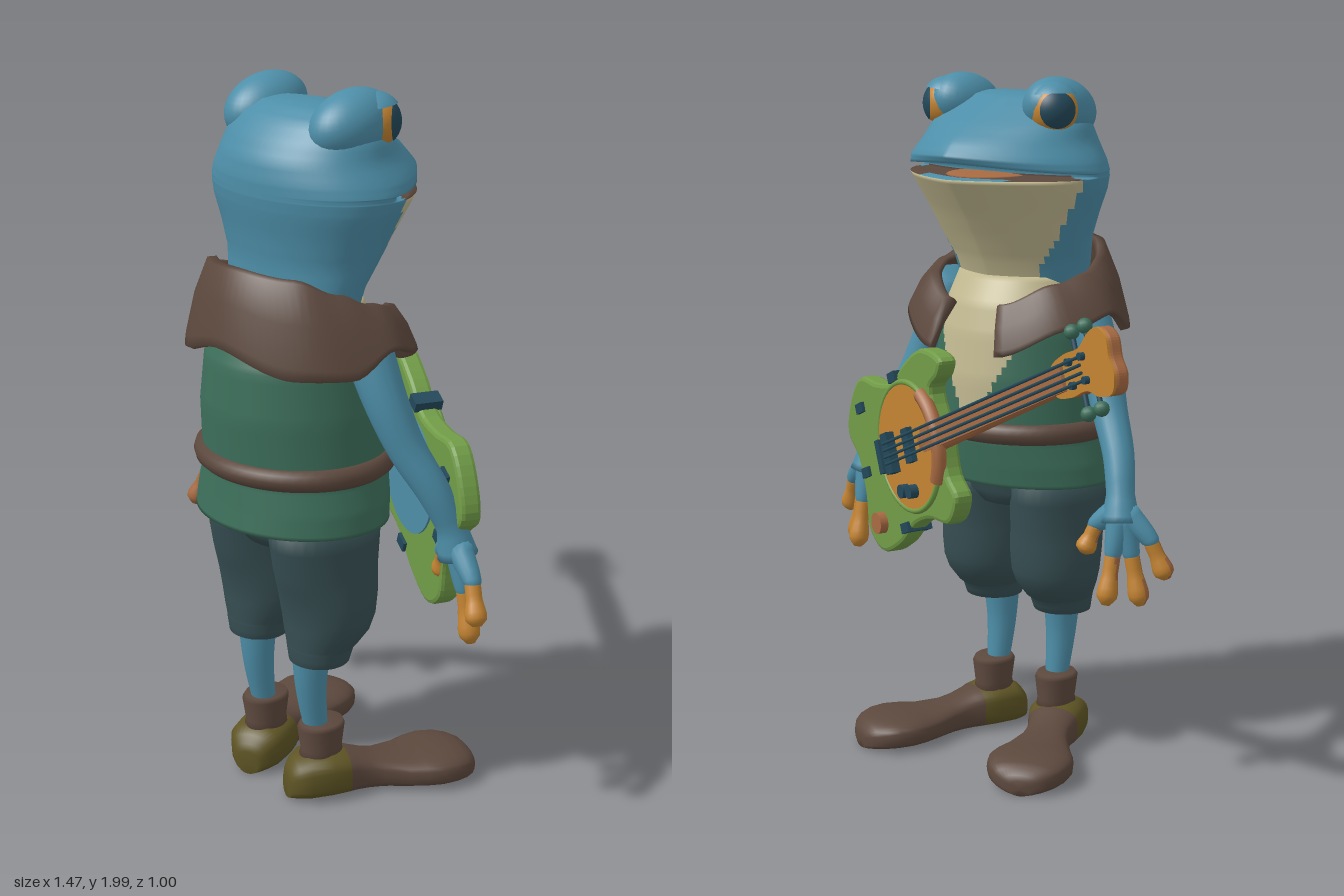
import * as THREE from 'three';

const mat = (name, color) => Object.assign(new THREE.MeshStandardMaterial({ color }), { name });
const V = (x, y, z) => new THREE.Vector3(x, y, z);
function named(o, name) { o.name = name; return o; }

// Closed rings joined into a smooth capped skin; pick(centre of a quad) chooses its material
function skin(name, rings, mats, pick = () => 0) {
  mats = [mats].flat();
  const n = rings[0].length;
  const cap = r => { const c = V(0, 0, 0); r.forEach(p => c.addScaledVector(p, 1 / n)); return r.map(() => c.clone()); };
  const all = [cap(rings[0]), ...rings, cap(rings[rings.length - 1])];
  const pts = all.flat(), buckets = mats.map(() => []);
  for (let i = 0; i < all.length - 1; i++) for (let j = 0; j < n; j++) {
    const a = i * n + j, b = i * n + (j + 1) % n;
    const m = V(0, 0, 0).add(pts[a]).add(pts[b]).add(pts[a + n]).add(pts[b + n]).divideScalar(4);
    const bucket = buckets[pick(m)];
    if (i < all.length - 2) bucket.push(a, b + n, a + n);
    if (i > 0) bucket.push(a, b, b + n);
    else bucket.push(a, b + n, a + n);
  }
  buckets[0] = buckets[0].filter(v => v >= 0);
  const g = new THREE.BufferGeometry().setFromPoints(pts);
  g.setIndex(buckets.flat());
  let start = 0;
  buckets.forEach((b, k) => { g.addGroup(start, b.length, k); start += b.length; });
  g.computeVertexNormals();
  return named(new THREE.Mesh(g, mats.length > 1 ? mats : mats[0]), name);
}

// Horizontal slices [y, halfWidth, zCentre, zBack, zFront, frontLift]; point > 1 narrows the front
function slices(rows, cx = 0, sub = 1, n = 48, point = 1) {
  const out = [];
  rows.forEach((r, i) => {
    const next = rows[i + 1];
    for (let k = 0; k < (next ? sub : 1); k++) {
      const [y, w, zc, zb, zf, lift = 0] = r.map((v, q) => next ? v + ((next[q] ?? 0) - v) * k / sub : v);
      out.push(Array.from({ length: n }, (_, j) => {
        const t = j / n * Math.PI * 2, c = Math.cos(t), s = Math.sin(t);
        const e = c < 0 ? point : 1;
        return V(cx + w * Math.sign(s) * Math.abs(s) ** e, y + (c < 0 ? lift * c * c : 0), zc + c * (c > 0 ? zb - zc : zc - zf));
      }));
    }
  });
  return out;
}

// Tapered limb along a curve
function limb(name, pts, radii, mats, steps = 16, n = 14, pick) {
  const curve = new THREE.CatmullRomCurve3(pts), rings = [];
  for (let i = 0; i <= steps; i++) {
    const u = i / steps, p = curve.getPoint(u), T = curve.getTangent(u);
    const f = u * (radii.length - 1), k = Math.min(Math.floor(f), radii.length - 2);
    const r = radii[k] + (radii[k + 1] - radii[k]) * (f - k);
    const N = V(0, 0, 1).addScaledVector(T, -T.z).normalize(), B = T.clone().cross(N);
    rings.push(Array.from({ length: n }, (_, j) => {
      const a = j / n * Math.PI * 2;
      return p.clone().addScaledVector(N, r * Math.cos(a)).addScaledVector(B, r * Math.sin(a));
    }));
  }
  return skin(name, rings, mats, pick);
}

export function createModel() {
  const blue = mat('blue skin', 0x4d8ea8), cream = mat('cream throat', 0xc4bb92), brown = mat('brown leather', 0x5c483d);
  const vest = mat('vest green', 0x3d6f5b), pants = mat('dark teal cloth', 0x385054), olive = mat('olive heel', 0x5e5424);
  const lime = mat('guitar green', 0x719c47), orange = mat('orange', 0xc48432), copper = mat('copper wood', 0xa76a42);
  const steel = mat('dark steel blue', 0x24495a);
  const model = named(new THREE.Group(), 'frogMusician'), frog = named(new THREE.Group(), 'frog');
  frog.position.x = 0.115;
  model.add(frog);
  const add = (parent, name, geo, m, x = 0, y = 0, z = 0) => {
    const o = named(new THREE.Mesh(geo, m), name);
    o.position.set(x, y, z);
    parent.add(o);
    return o;
  };

  // Head with an open mouth
  frog.add(skin('head', slices([
    [1.36, .2, .24, .38, .1], [1.48, .225, .23, .36, .05], [1.55, .245, .2, .36, .01], [1.62, .272, .19, .37, -.035],
    [1.69, .302, .18, .385, -.085], [1.725, .312, .17, .39, -.11], [1.729, .311, .17, .39, .06], [1.737, .311, .17, .39, .06, .02],
    [1.741, .312, .17, .39, -.11, .03], [1.77, .3, .17, .39, -.122, .022], [1.82, .268, .18, .38, -.085, .01],
    [1.87, .252, .18, .35, -.02], [1.915, .22, .19, .31, .06], [1.943, .16, .19, .265, .11], [1.952, .08, .19, .23, .15],
  ], 0, 3, 88, 1.45), [blue, cream, brown], p => p.z > .115 ? 0 : p.y < 1.722 ? 1 : p.y < 1.738 && p.z > -.03 ? 2 : 0));
  const tongue = add(frog, 'tongue', new THREE.SphereGeometry(.14, 24, 10), copper, 0, 1.727, .09);
  tongue.scale.set(.9, .07, 1);

  // Torso in an open vest
  frog.add(skin('vest', slices([
    [.84, .295, .23, .485, .01], [.9, .288, .23, .476, 0], [.97, .268, .23, .468, -.01], [1.15, .262, .23, .48, -.015],
    [1.28, .245, .23, .47, 0], [1.36, .22, .23, .44, .02], [1.44, .19, .23, .38, .06],
  ], 0, 6, 112), [vest, cream, blue], p => {
    if (p.z > .2 || p.y < 1.03) return p.y > 1.39 ? 2 : 0;
    return Math.abs(p.x) < .03 + (p.y - 1.03) * .45 ? 1 : p.y > 1.36 ? 2 : 0;
  }));
  const belt = add(frog, 'belt', new THREE.TorusGeometry(.255, .027, 10, 56), brown, 0, 1, .23);
  belt.rotation.x = Math.PI / 2;
  belt.scale.set(1.04, .93, 1.15);

  // Flared collar, lower and open at the chest
  const keys = [[0, 1.54, 1.335], [.7, 1.53, 1.28], [1.2, 1.49, 1.28], [1.6, 1.455, 1.345], [2.1, 1.43, 1.31], [2.8, 1.37, 1.23]];
  const edge = (a, q) => {
    const i = Math.max(1, keys.findIndex(k => k[0] >= a - 1e-6)), A = keys[i - 1], B = keys[i];
    return THREE.MathUtils.lerp(A[q], B[q], THREE.MathUtils.smoothstep(a, A[0], B[0]));
  };
  const section = [[.245, .215, 0], [.27, .24, .01], [.312, .272, .4], [.342, .293, .85], [.346, .297, .97], [.325, .28, 1], [.285, .25, .5], [.235, .205, .08]];
  const collar = [];
  for (let i = 0; i <= 72; i++) {
    const a = -2.8 + 5.6 * i / 72, top = edge(Math.abs(a), 1), low = edge(Math.abs(a), 2);
    const tuck = Math.cos(a) < 0 ? .9 : 1;
    collar.push(section.map(([rx, rz, k]) => V(rx * Math.sin(a), top + (low - top) * k, .2 + rz * tuck * Math.cos(a))));
  }
  frog.add(skin('collar', collar, brown));

  // Trouser seat
  frog.add(skin('trouserSeat', slices([[.735, .05, .24, .3, .18], [.76, .13, .24, .37, .1], [.8, .22, .24, .4, .075], [.9, .26, .24, .43, .05]], 0, 2), pants));

  for (const s of [-1, 1]) {
    const side = s > 0 ? 'left' : 'right';
    // Eyes under heavy lids that run back into the head
    const bulge = add(frog, side + 'EyeBulge', new THREE.SphereGeometry(.088, 32, 22), blue, s * .168, 1.908, .18);
    bulge.scale.set(1, 1, 1.45);
    bulge.rotation.x = .25;
    const eye = named(new THREE.Group(), side + 'Eye');
    eye.position.set(s * .19, 1.912, .123);
    eye.lookAt(s * .95, 1.93, -.52);
    add(eye, 'iris', new THREE.SphereGeometry(.069, 28, 20), orange);
    const pupil = add(eye, 'pupil', new THREE.SphereGeometry(.0715, 28, 10, 0, Math.PI * 2, 0, .78), steel);
    pupil.rotation.x = Math.PI / 2;
    const lid = add(eye, 'eyelid', new THREE.SphereGeometry(.077, 28, 12, 0, Math.PI * 2, 0, 1.05), blue);
    lid.rotation.x = -.12;
    frog.add(eye);

    // Legs
    frog.add(skin(side + 'TrouserLeg', slices([
      [.425, .07, .26, .33, .19], [.43, .086, .26, .34, .175], [.47, .092, .26, .345, .155], [.48, .098, .25, .345, .14],
      [.52, .12, .23, .348, .11], [.56, .131, .23, .35, .093], [.62, .134, .23, .362, .085], [.7, .128, .23, .388, .08], [.86, .126, .24, .42, .06],
    ], s * .129, 2, 32), pants));
    frog.add(limb(side + 'Calf', [V(s * .115, .47, .275), V(s * .113, .35, .275), V(s * .112, .2, .255)], [.057, .045, .033], blue));

    // Boot
    const boot = named(new THREE.Group(), side + 'Boot');
    boot.position.set(s * .12, 0, .26);
    boot.rotation.y = -s * .4;
    boot.add(skin('shoe', [
      [-.09, .03, .07], [-.082, .046, .09], [-.065, .064, .112], [-.035, .082, .13], [.03, .086, .135], [.08, .077, .125], [.1, .07, .118],
      [.14, .066, .105], [.18, .071, .095], [.25, .098, .088], [.295, .116, .092], [.34, .125, .094], [.385, .119, .092], [.42, .103, .085],
      [.445, .08, .075], [.459, .056, .06], [.466, .03, .045],
    ].map(([d, w, h]) => Array.from({ length: 32 }, (_, j) => {
      const a = j / 32 * Math.PI * 2, c = Math.cos(a);
      return V(w * Math.sin(a), .01 + h / 2 + h / 2 * Math.sign(c) * Math.abs(c) ** .6, -d);
    })), [brown, olive], p => p.z > -.09 ? 1 : 0));
    frog.add(boot);
    frog.add(skin(side + 'BootCuff', slices([[.09, .06, .25, .32, .17], [.15, .052, .245, .305, .18], [.215, .059, .245, .316, .172], [.228, .054, .245, .305, .178]], s * .12, 1, 28), brown));

    // Arm and hand
    const P = (x, y, z) => V(s * x, y, z);
    frog.add(limb(side + 'Arm', [P(.21, 1.4, .21), P(.255, 1.33, .2), P(.315, 1.2, .188), P(.365, 1.08, .16), P(.425, .97, .12), P(.458, .87, .085), P(.47, .79, .07)],
      [.06, .066, .058, .051, .045, .04, .055], blue, 24, 18));
    const wrist = P(.468, .84, .075);
    [[.595, .64, .12], [.535, .56, .08], [.465, .565, .01], [.372, .695, .03]].forEach((t, i) => {
      const tip = P(...t), root = wrist.clone().lerp(tip, .1);
      const mid = root.clone().lerp(tip, .45).add(P(i < 1 ? .02 : i > 2 ? -.02 : 0, .01, 0));
      const joint = mid.clone().lerp(tip, .12), half = mid.z / 2 + tip.z / 2;
      frog.add(limb(side + 'Finger' + (i + 1), [root, mid, joint], [.037, .025, .02], blue, 8));
      frog.add(limb(side + 'Fingertip' + (i + 1), [mid, mid.clone().lerp(tip, .6), tip], [.022, .022, .022, .027, .03, .028, .012], s < 0 ? [orange, copper] : orange, 12, 14,
        p => s < 0 && p.z > half ? 1 : 0));
    });
  }

  // Guitar, facing its own +z with the neck along +x
  const guitar = named(new THREE.Group(), 'guitar');
  guitar.position.set(.315, .92, -.05);
  guitar.rotation.set(0, 2.763, .4, 'YXZ');
  model.add(guitar);
  const plate = (name, pts, depth, m, z, bevel) => {
    const shape = new THREE.Shape(new THREE.CatmullRomCurve3(pts.map(p => V(p[0], p[1], 0)), true).getPoints(90).map(p => new THREE.Vector2(p.x, p.y)));
    return add(guitar, name, new THREE.ExtrudeGeometry(shape, { depth, bevelEnabled: bevel > 0, bevelSize: bevel, bevelThickness: bevel, bevelOffset: -bevel, bevelSegments: 2 }), m, 0, 0, z);
  };
  plate('guitarBody', [[-.28, .2], [-.18, .26], [-.08, .22], [.02, .2], [.12, .235], [.24, .25], [.34, .19], [.31, .155], [.25, .13], [.26, 0], [.25, -.12],
    [.28, -.19], [.21, -.25], [.1, -.22], [0, -.22], [-.12, -.26], [-.25, -.26], [-.31, -.18], [-.29, -.08], [-.29, .03], [-.33, .12]], .036, lime, -.018, .012);
  const disc = (name, r, h, m, x, y, z) => { const o = add(guitar, name, new THREE.CylinderGeometry(r, r, h, 36), m, x, y, z); o.rotation.x = Math.PI / 2; return o; };
  disc('soundPlate', .185, .012, orange, .07, 0, .034);
  add(guitar, 'soundPlateRim', new THREE.TorusGeometry(.187, .009, 8, 48), lime, .07, 0, .034);
  disc('backPlate', .17, .008, blue, 0, 0, -.032);
  const guard = add(guitar, 'neckGuard', new THREE.TorusGeometry(.185, .022, 8, 20, 1.5), copper, .07, 0, .035);
  guard.rotation.z = -.75;

  // Neck and headstock
  const neck = add(guitar, 'neck', new THREE.CylinderGeometry(.036, .047, .84, 16), copper, .57, 0, .015);
  neck.rotation.z = -Math.PI / 2;
  neck.scale.z = .62;
  add(guitar, 'fretboard', new THREE.BoxGeometry(.82, .07, .01), copper, .58, 0, .037);
  const head = [[.93, .035], [1, .055], [1.08, .055], [1.13, .078], [1.18, .083], [1.21, .05], [1.207, 0], [1.215, -.045], [1.19, -.085], [1.13, -.08], [1.08, -.055], [1, -.055], [.93, -.035]];
  plate('headstockBack', head, .022, copper, -.005, .008);
  plate('headstockFace', head, .008, orange, .024, 0);
  for (const x of [1.03, 1.095]) for (const s of [-1, 1]) {
    add(guitar, 'tuningPost', new THREE.CylinderGeometry(.007, .007, .07, 8), steel, x, s * .065, .01);
    add(guitar, 'tuningPeg', new THREE.SphereGeometry(.02, 12, 10), vest, x, s * .105, .01);
    disc('stringPost', .01, .02, steel, x, s * .03, .036);
  }

  // Strings and fittings
  for (let i = 0; i < 4; i++) {
    const str = add(guitar, 'string', new THREE.CylinderGeometry(.0045, .0045, 1.12, 6), steel, .53, (i - 1.5) * .02, .056);
    str.rotation.set(0, .022, Math.PI / 2, 'YXZ');
  }
  add(guitar, 'bridge', new THREE.BoxGeometry(.04, .12, .03), steel, -.02, 0, .052);
  add(guitar, 'tailpiece', new THREE.BoxGeometry(.025, .1, .03), steel, -.075, 0, .05);
  add(guitar, 'pickup', new THREE.BoxGeometry(.04, .1, .02), steel, .1, 0, .048);
  for (const [x, y] of [[.02, -.12], [.07, -.13]]) disc('controlKnob', .02, .03, steel, x, y, .05);
  disc('jackKnob', .032, .03, copper, -.2, -.18, .04);
  for (const [x, y] of [[-.2, .17], [-.24, -.02], [.05, .21], [-.05, -.22]]) add(guitar, 'bodyClip', new THREE.BoxGeometry(.045, .03, .08), steel, x, y, 0);
  return model;
}
